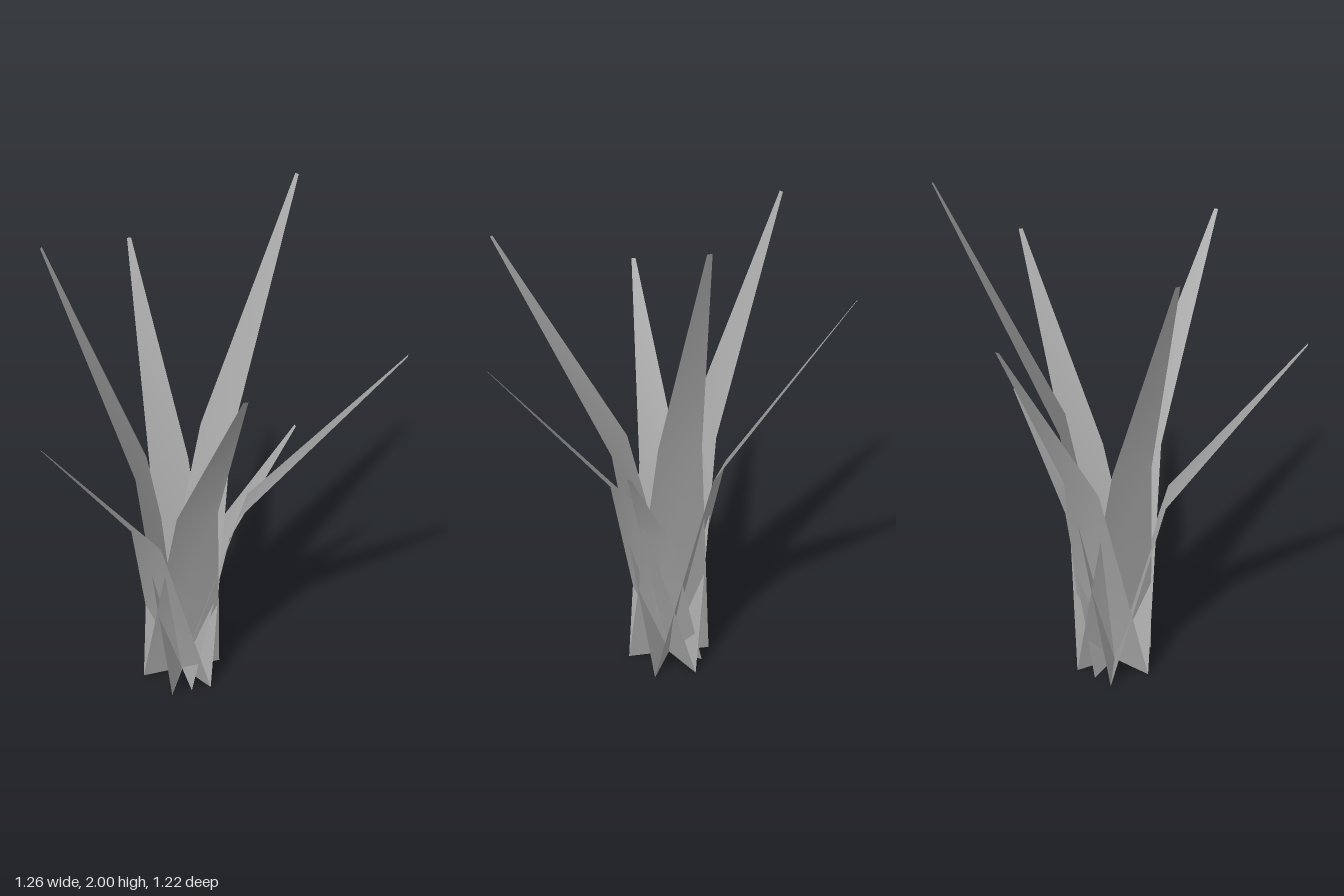
import * as THREE from 'three';

const ROOT = new THREE.Vector3(0.04, 0, -0.045);

// A flat leaf: wide at the root, bent outward half way, almost pointed at the tip.
// Three cross-sections run across the leaf, at right angles to its heading.
function leafGeometry({ angle, bend, tip, widths }) {
  const a = THREE.MathUtils.degToRad(angle);
  const across = new THREE.Vector3(-Math.sin(a), 0, Math.cos(a));
  const centres = [ROOT, new THREE.Vector3(...bend), new THREE.Vector3(...tip)];
  const points = [];
  centres.forEach((c, i) => {
    for (const side of [-1, 1]) points.push(c.clone().addScaledVector(across, side * widths[i]));
  });
  const index = [];
  for (let i = 0; i < 4; i += 2) index.push(i, i + 1, i + 2, i + 1, i + 3, i + 2);
  const geometry = new THREE.BufferGeometry().setFromPoints(points);
  geometry.setIndex(index);
  geometry.computeVertexNormals();
  return geometry;
}

export function createModel() {
  const group = new THREE.Group();
  group.name = 'spikyPlant';
  const grey = new THREE.MeshStandardMaterial({ color: 0xaaaaaa, side: THREE.DoubleSide });
  grey.name = 'leaf grey';

  // Six long leaves, 60 degrees apart (angle from +x towards +z), and one short one
  const long = [0.165, 0.078, 0.008];
  const leaves = [
    { name: 'leftLeaf', angle: 0, bend: [0.225, 1.1, -0.045], tip: [0.63, 2.0, -0.045], widths: long },
    { name: 'frontLeftLeaf', angle: 60, bend: [0.17, 0.88, 0.15], tip: [0.46, 1.59, 0.605], widths: long },
    { name: 'frontRightLeaf', angle: 120, bend: [-0.06, 0.95, 0.13], tip: [-0.295, 1.72, 0.54], widths: long },
    { name: 'rightLeaf', angle: 180, bend: [-0.16, 0.8, -0.038], tip: [-0.635, 1.45, -0.018], widths: long },
    { name: 'backRightLeaf', angle: 240, bend: [-0.04, 1.0, -0.18], tip: [-0.2, 1.855, -0.48], widths: long },
    { name: 'backLeftLeaf', angle: 300, bend: [0.14, 0.93, -0.21], tip: [0.335, 1.675, -0.605], widths: long },
    { name: 'shortLeaf', angle: 29, bend: [0.2, 0.69, 0.035], tip: [0.435, 1.125, 0.168], widths: [0.14, 0.06, 0.007] },
  ];
  for (const leaf of leaves) {
    const mesh = new THREE.Mesh(leafGeometry(leaf), grey);
    mesh.name = leaf.name;
    group.add(mesh);
  }
  return group;
}
